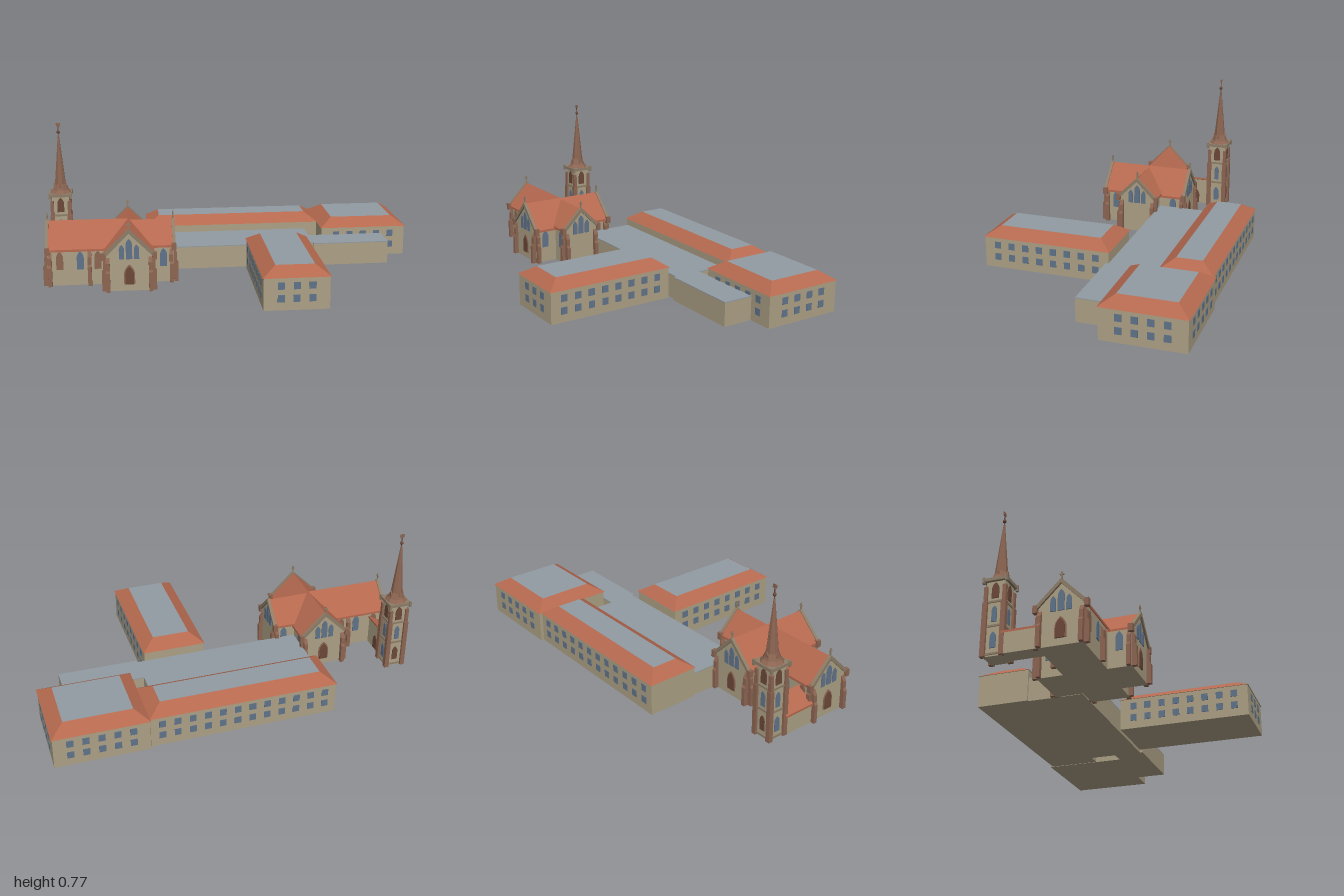
import * as THREE from 'three';

const mat = (name, color) => {
  const m = new THREE.MeshStandardMaterial({ color });
  m.name = name;
  return m;
};
const WALL = mat('plaster wall', 0xaca085);
const ROOF = mat('red tile', 0xb5694f);
const DECK = mat('grey roofing', 0x919ba1);
const GLASS = mat('blue glass', 0x60738a);
const TRIM = mat('brown sandstone', 0x8c6552);
const DOOR = mat('dark brown wood', 0x6b4838);
const STONE = mat('coping stone', 0x8d7d68);

function add(parent, name, geo, material, x = 0, y = 0, z = 0) {
  const m = new THREE.Mesh(geo, material);
  m.name = name;
  m.position.set(x, y, z);
  parent.add(m);
  return m;
}
function group(parent, name, x = 0, z = 0, turn = 0) {
  const g = new THREE.Group();
  g.name = name;
  g.position.set(x, 0, z);
  g.rotation.y = turn;
  parent.add(g);
  return g;
}
// Box given by its limits
const box = (p, name, m, x0, x1, y0, y1, z0, z1) =>
  add(p, name, new THREE.BoxGeometry(x1 - x0, y1 - y0, z1 - z0), m, (x0 + x1) / 2, (y0 + y1) / 2, (z0 + z1) / 2);

// Outline in x, y pulled along z from z0 to z1
function prism(points, z0, z1) {
  const s = new THREE.Shape(points.map(([x, y]) => new THREE.Vector2(x, y)));
  return new THREE.ExtrudeGeometry(s, { depth: z1 - z0, bevelEnabled: false }).translate(0, 0, z0);
}

// Pointed-arch plate facing +z
function lancet(p, name, m, x, y, z, w, h) {
  const r = w / 2, s = new THREE.Shape();
  s.moveTo(-r, 0);
  s.lineTo(r, 0);
  s.lineTo(r, h - w);
  s.quadraticCurveTo(r, h - w * 0.4, 0, h);
  s.quadraticCurveTo(-r, h - w * 0.4, -r, h - w);
  add(p, name, new THREE.ExtrudeGeometry(s, { depth: 0.005, bevelEnabled: false, curveSegments: 5 }), m, x, y, z - 0.001);
}

// Two rows of square windows on a face
function windows(p, x, z, turn, columns) {
  const g = group(p, 'windows', x, z, turn);
  for (let i = 0; i < columns; i++)
    for (const y of [0.06, 0.124])
      add(g, 'window', new THREE.BoxGeometry(0.034, 0.036, 0.004), GLASS, (i - (columns - 1) / 2) * 0.077, y, 0.001);
}

// Block with a truncated hip roof; columns of windows per side
function wing(p, name, x0, x1, z0, z1, cols) {
  const g = group(p, name), e = 0.005;
  box(g, 'walls', WALL, x0 + e, x1 - e, 0, 0.166, z0 + e, z1 - e);
  const w = x1 - x0, d = z1 - z0, cx = (x0 + x1) / 2, cz = (z0 + z1) / 2;
  const geo = new THREE.BoxGeometry(w, 0.046, d), a = geo.attributes.position;
  for (let i = 0; i < a.count; i++)
    if (a.getY(i) > 0) {
      a.setX(i, a.getX(i) * (1 - 0.14 / w));
      a.setZ(i, a.getZ(i) * (1 - 0.14 / d));
    }
  geo.computeVertexNormals();
  add(g, 'hipRoof', geo, [ROOF, ROOF, DECK, WALL, ROOF, ROOF], cx, 0.187, cz);
  if (cols.front) windows(g, cx, z1 - e, 0, cols.front);
  if (cols.back) windows(g, cx, z0 + e, Math.PI, cols.back);
  if (cols.right) windows(g, x1 - e, cz, Math.PI / 2, cols.right);
  if (cols.left) windows(g, x0 + e, cz, -Math.PI / 2, cols.left);
}

// Stepped buttress standing out along +z
function buttress(p, x, z, turn) {
  const geo = prism([[0, 0], [0.023, 0], [0.023, 0.1], [0.016, 0.112], [0.016, 0.15], [0, 0.178]], -0.01, 0.01);
  geo.rotateY(-Math.PI / 2);
  add(p, 'buttress', geo, TRIM, x, 0, z).rotation.y = turn;
}

function cross(p, y, z) {
  const g = group(p, 'gableCross', 0, z);
  box(g, 'crossPost', STONE, -0.003, 0.003, y, y + 0.042, -0.003, 0.003);
  box(g, 'crossBar', STONE, -0.01, 0.01, y + 0.025, y + 0.031, -0.003, 0.003);
}

// Church arm running from the crossing to a gable at +z
function churchArm(p, name, turn, len, half, eave, ridge, door, sideWindows, midButtress) {
  const g = group(p, name, -0.56, 0.033, turn);
  const w = half - 0.014, t = 0.012;
  add(g, 'walls', prism([[-w, 0], [w, 0], [w, eave], [0, ridge - t], [-w, eave]], 0, len), WALL);
  const slope = (ridge - eave) / half;
  const chevron = (k, up, th) => prism([[-k, ridge - k * slope + up], [-k, ridge - k * slope + up - th],
    [0, ridge + up - th], [k, ridge - k * slope + up - th], [k, ridge - k * slope + up], [0, ridge + up]].reverse(), 0, 1);
  const roof = add(g, 'roof', chevron(half, 0, t), ROOF);
  roof.scale.z = len;
  // Gable coping with kneeler blocks
  const cope = add(g, 'gableCoping', chevron(half, 0.007, 0.024), STONE, 0, 0, len - 0.006);
  cope.scale.z = 0.016;
  cross(g, ridge, len + 0.002);
  for (const s of [-1, 1]) {
    box(g, 'kneeler', TRIM, s * half - 0.011, s * half + 0.011, eave - 0.025, eave + 0.012, len - 0.012, len + 0.012);
    buttress(g, s * (w - 0.008), len, 0);
    buttress(g, s * w, len - 0.012, s * Math.PI / 2);
    if (midButtress) buttress(g, s * w, midButtress, s * Math.PI / 2);
    // Side windows
    const side = group(g, 'sideWindows', s * w, 0, s * Math.PI / 2);
    for (const [d, m] of sideWindows) lancet(side, 'lancetWindow', m, -s * d, 0.085, 0, 0.036, 0.096);
  }
  // Gable lancets and portal
  lancet(g, 'gableWindow', GLASS, 0, 0.168, len, 0.032, 0.105);
  for (const s of [-1, 1]) lancet(g, 'gableWindow', GLASS, s * 0.038, 0.168, len, 0.026, 0.075);
  if (door) {
    lancet(g, 'doorFrame', TRIM, 0, 0.035, len, 0.056, 0.104);
    lancet(g, 'door', DOOR, 0, 0.035, len + 0.003, 0.044, 0.094);
  }
}

function tower(p) {
  const g = group(p, 'bellTower', -0.923, -0.294);
  box(g, 'shaft', WALL, -0.046, 0.046, 0, 0.38, -0.046, 0.046);
  for (const y of [0.012, 0.15, 0.272]) box(g, 'stringCourse', STONE, -0.05, 0.05, y - 0.005, y + 0.005, -0.05, 0.05);
  box(g, 'cornice', STONE, -0.06, 0.06, 0.376, 0.392, -0.06, 0.06);
  for (const sx of [-1, 1])
    for (const sz of [-1, 1]) {
      const x = sx * 0.046, z = sz * 0.046;
      box(g, 'cornerButtress', TRIM, x - 0.012, x + 0.012, 0, 0.27, z - 0.012, z + 0.012);
      box(g, 'upperButtress', TRIM, x - 0.009, x + 0.009, 0.27, 0.352, z - 0.009, z + 0.009);
      box(g, 'corniceKnob', STONE, sx * 0.057 - 0.006, sx * 0.057 + 0.006, 0.366, 0.397, sz * 0.057 - 0.006, sz * 0.057 + 0.006);
    }
  for (let i = 0; i < 4; i++) {
    const f = group(g, 'towerFace', 0, 0, i * Math.PI / 2);
    lancet(f, 'belfryOpening', DOOR, 0, 0.29, 0.046, 0.036, 0.08);
    lancet(f, 'towerWindow', GLASS, 0, 0.17, 0.046, 0.026, 0.08);
    lancet(f, 'lowerWindow', i === 2 ? DOOR : GLASS, 0, 0.04, 0.046, 0.03, 0.08);
    add(f, 'spireDormer', prism([[-0.009, 0], [0.009, 0], [0.009, 0.025], [0, 0.042], [-0.009, 0.025]], 0, 0.036), TRIM, 0, 0.405, 0);
  }
  // Flared eight-sided spire
  const rings = [[0.061, 0.39], [0.044, 0.408], [0.031, 0.44], [0.004, 0.705]];
  for (let i = 0; i < 3; i++) {
    const [r0, y0] = rings[i], [r1, y1] = rings[i + 1];
    const geo = new THREE.CylinderGeometry(r1, r0, y1 - y0, 8, 1, i < 2).rotateY(Math.PI / 8).toNonIndexed();
    geo.computeVertexNormals();
    add(g, 'spire', geo, TRIM, 0, (y0 + y1) / 2, 0);
  }
  add(g, 'finialBall', new THREE.SphereGeometry(0.009, 10, 8), DOOR, 0, 0.725, 0);
  box(g, 'finialRod', DOOR, -0.002, 0.002, 0.7, 0.775, -0.002, 0.002);
  box(g, 'weatherVane', TRIM, -0.011, 0.011, 0.757, 0.774, -0.003, 0.003);
}

export function createModel() {
  const root = new THREE.Group();
  root.name = 'churchAndSchool';

  // Hip-roofed wings
  wing(root, 'backWing', -0.455, 0.52, -0.625, -0.35, { back: 12 });
  wing(root, 'cornerWing', 0.515, 0.998, -0.64, -0.21, { front: 5, right: 4, back: 5 });
  wing(root, 'frontWing', 0.07, 0.405, -0.06, 0.632, { front: 3, right: 8, left: 8 });

  // Low flat-roofed connectors
  for (const [x0, x1, z0, z1] of [[-0.44, 0.445, -0.355, -0.07], [0.445, 0.86, -0.215, -0.055]]) {
    box(root, 'connectorWalls', WALL, x0, x1, 0, 0.12, z0, z1);
    box(root, 'connectorDeck', DECK, x0, x1, 0.12, 0.125, z0, z1);
  }

  // Cross-shaped church
  const church = group(root, 'church');
  const q = Math.PI / 2;
  churchArm(church, 'frontTransept', 0, 0.226, 0.13, 0.19, 0.32, true, [[0.165, GLASS]]);
  churchArm(church, 'backTransept', 2 * q, 0.24, 0.13, 0.19, 0.32, true, [[0.178, GLASS]]);
  churchArm(church, 'choir', q, 0.232, 0.112, 0.2, 0.312, false, [[0.178, GLASS]]);
  churchArm(church, 'nave', -q, 0.417, 0.122, 0.195, 0.32, true,
    [[0.16, TRIM], [0.25, GLASS], [0.355, TRIM]], 0.203);

  // Lean-to passage between nave and tower
  const passage = group(church, 'passage');
  box(passage, 'passageWalls', WALL, -0.98, -0.894, 0, 0.105, -0.25, -0.07);
  add(passage, 'passageGable', prism([[-0.98, 0.1], [-0.894, 0.1], [-0.894, 0.15]], -0.25, -0.07), WALL);
  add(passage, 'passageRoof', prism([[-0.988, 0.098], [-0.888, 0.153], [-0.888, 0.164], [-0.988, 0.109]], -0.25, -0.07), ROOF);
  const doorSide = group(passage, 'passageSide', -0.894, -0.165, q);
  lancet(doorSide, 'passageDoor', DOOR, 0, 0.005, 0, 0.04, 0.085);
  tower(church);
  return root;
}
